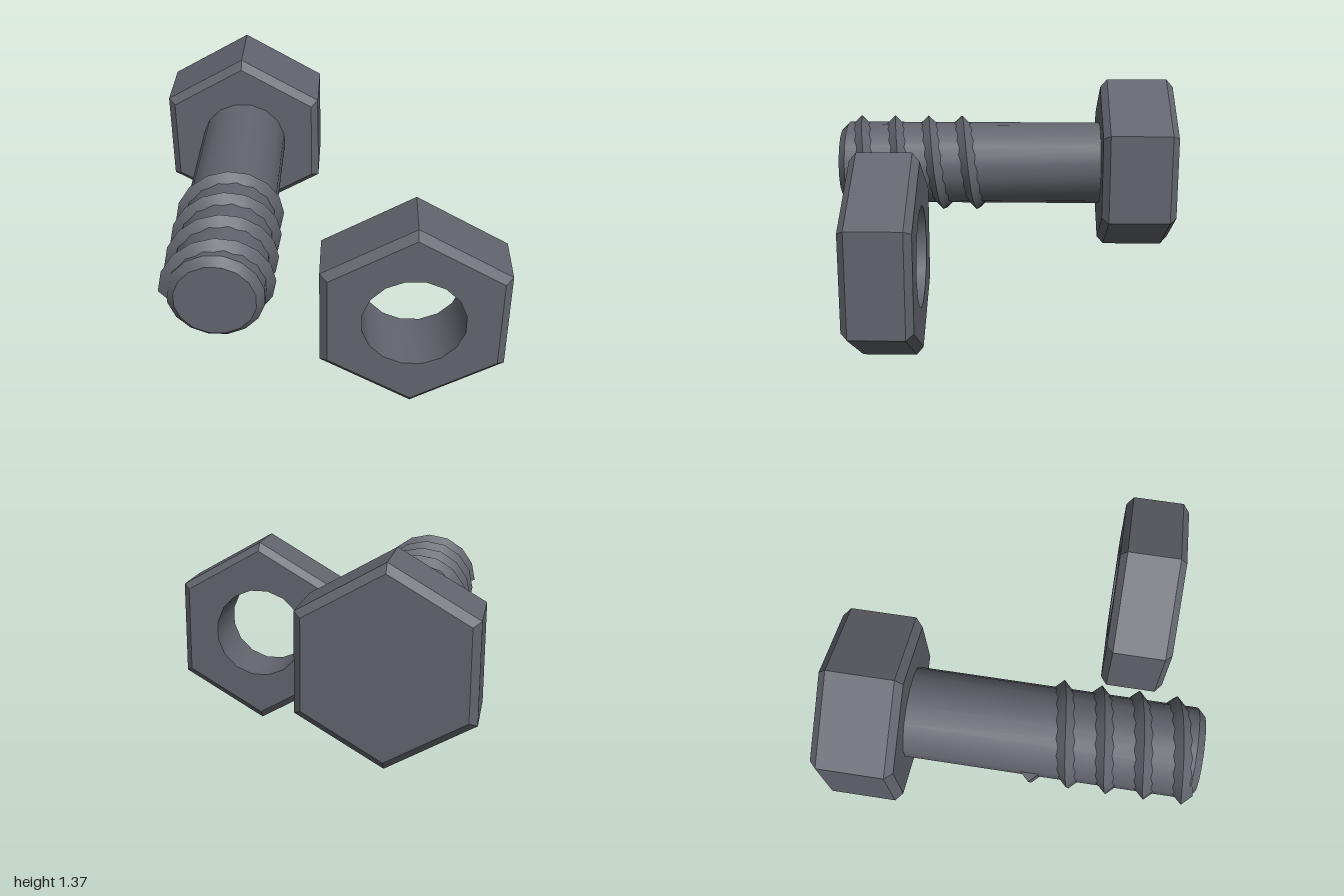
import * as THREE from 'three';
import { toCreasedNormals } from 'three/addons/utils/BufferGeometryUtils.js';

const SIDES = 16;
const steel = new THREE.MeshStandardMaterial({ name: 'dark steel', color: 0x62656d });

// Turned solid along z from [radius, z] points; creased so edges stay sharp
function turned(points, sides) {
  const g = new THREE.LatheGeometry(points.map(([r, z]) => new THREE.Vector2(r, z)), sides);
  g.rotateX(Math.PI / 2);
  return toCreasedNormals(g, 0.5);
}

// Regular polygon path in the xy plane
function polygon(target, r, sides, offset) {
  for (let i = 0; i < sides; i++) {
    const a = ((i + offset) / sides) * Math.PI * 2;
    target[i ? 'lineTo' : 'moveTo'](r * Math.cos(a), r * Math.sin(a));
  }
  target.closePath();
  return target;
}

function add(parent, name, geometry) {
  const mesh = new THREE.Mesh(geometry, steel);
  mesh.name = name;
  parent.add(mesh);
  return mesh;
}

// Triangular ridge swept along a helix, with closed ends
function threadGeometry(z0, pitch, turns, rBase, rCrest, halfWidth) {
  const steps = turns * SIDES, pos = [], index = [];
  for (let i = 0; i <= steps; i++) {
    const a = Math.PI + (i / SIDES) * Math.PI * 2;
    const z = z0 + (i / SIDES) * pitch;
    for (const [r, dz] of [[rBase, -halfWidth], [rCrest, 0], [rBase, halfWidth]]) {
      pos.push(r * Math.cos(a), r * Math.sin(a), z + dz);
    }
    if (i === steps) break;
    for (let k = 0; k < 2; k++) {
      const p = i * 3 + k, q = p + 3;
      index.push(p, q, p + 1, p + 1, q, q + 1);
    }
  }
  const e = steps * 3;
  index.push(0, 1, 2, e, e + 2, e + 1);
  const g = new THREE.BufferGeometry();
  g.setAttribute('position', new THREE.Float32BufferAttribute(pos, 3));
  g.setIndex(index);
  return toCreasedNormals(g, 0.6);
}

export function createModel() {
  const model = new THREE.Group();
  model.name = 'boltAndNut';

  // Bolt: chamfered hexagonal head, shank and thread
  const bolt = new THREE.Group();
  bolt.name = 'bolt';
  bolt.position.set(-0.52, 0.853, 0);
  add(bolt, 'head', turned(
    [[0, -1], [0.47, -1], [0.516, -0.96], [0.516, -0.605], [0.47, -0.565], [0, -0.565]], 6));
  const shank = add(bolt, 'shank', turned([[0.247, -0.6], [0.247, 0.96], [0.207, 1], [0, 1]], SIDES));
  shank.rotation.z = Math.PI / SIDES;
  add(bolt, 'thread', threadGeometry(0.115, 0.204, 4, 0.235, 0.29, 0.057));
  model.add(bolt);

  // Nut: chamfered hexagonal shell, two pierced faces and the bore
  const nut = new THREE.Group();
  nut.name = 'nut';
  nut.position.set(0.473, 0.567, 0.617);
  const half = 0.185, bore = 0.275, inner = 0.52, outer = 0.567;
  add(nut, 'nutSides', turned(
    [[inner, -half], [outer, -half + 0.038], [outer, half - 0.038], [inner, half]], 6));
  const ring = polygon(new THREE.Shape(), inner, 6, 0.5);
  ring.holes.push(polygon(new THREE.Path(), bore, SIDES, 0.5));
  for (const side of [1, -1]) {
    const face = add(nut, side > 0 ? 'nutFrontFace' : 'nutBackFace', new THREE.ShapeGeometry(ring));
    face.position.z = side * half;
    if (side < 0) face.rotation.y = Math.PI;
  }
  const wall = add(nut, 'bore', turned([[bore, half], [bore, -half]], SIDES));
  wall.rotation.z = Math.PI / SIDES;
  model.add(nut);

  return model;
}
